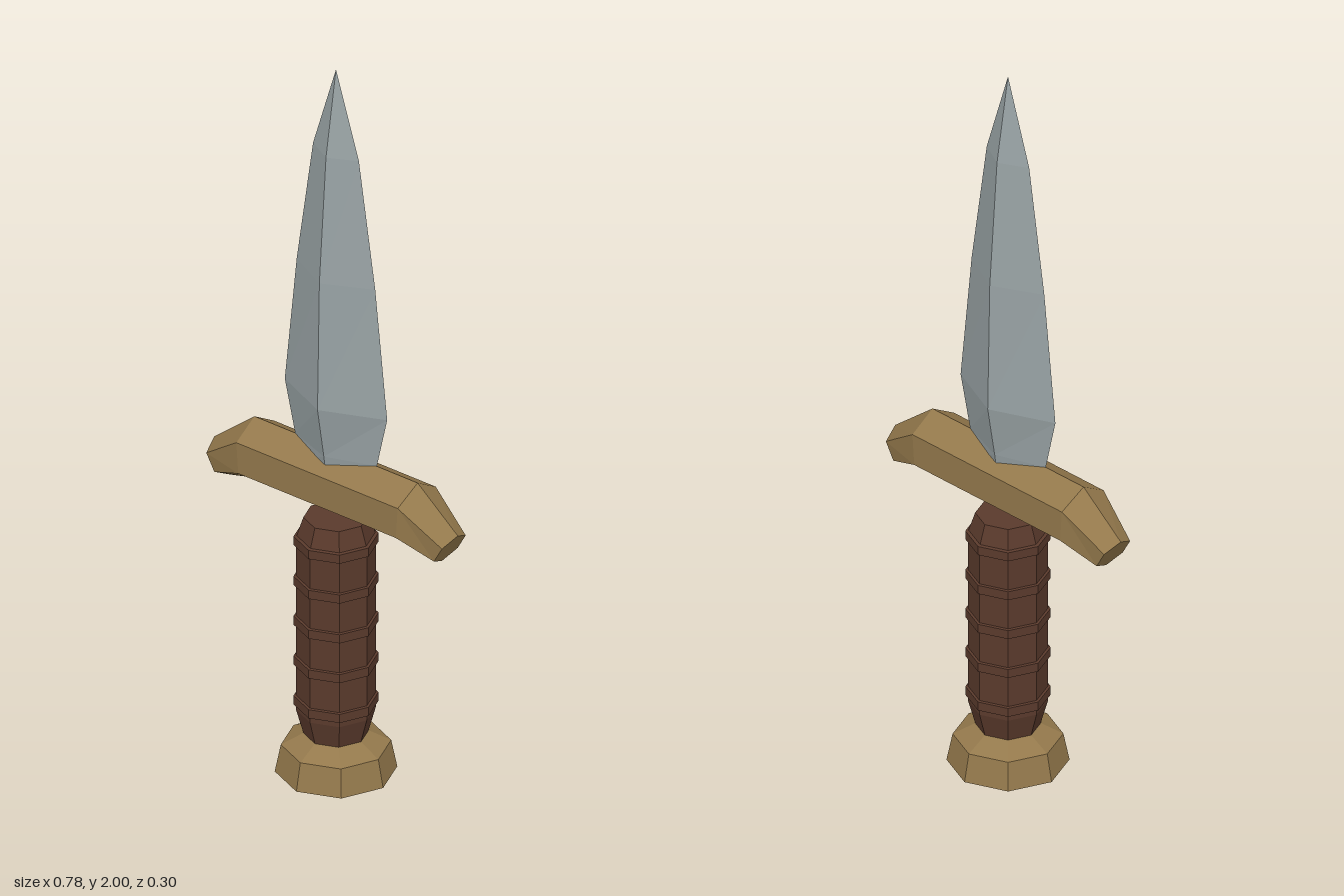
import * as THREE from 'three';

const material = (color) => new THREE.MeshStandardMaterial({ color, flatShading: true });
const brass = material(0x94794c);
const leather = material(0x5a3a2c);
const steel = material(0x98a2a4);

// Joins matching cross-sections (counter-clockwise seen from the last one) and caps both ends.
function loft(rings) {
  const n = rings[0].length;
  const index = [];
  for (let r = 0; r < rings.length - 1; r++) {
    for (let i = 0; i < n; i++) {
      const a = r * n + i, b = r * n + (i + 1) % n;
      index.push(a, b, b + n, a, b + n, a + n);
    }
  }
  const last = (rings.length - 1) * n;
  for (let i = 1; i < n - 1; i++) {
    index.push(0, i + 1, i, last, last + i, last + i + 1);
  }
  const geometry = new THREE.BufferGeometry();
  geometry.setAttribute('position', new THREE.Float32BufferAttribute(rings.flat(2), 3));
  geometry.setIndex(index);
  geometry.computeVertexNormals();
  return geometry;
}

// Eight-sided turned part from [radius, height] pairs, bottom to top.
const turned = (profile) =>
  new THREE.LatheGeometry(profile.map(([r, y]) => new THREE.Vector2(r, y)), 8);

// Pointed hexagon across the guard; top and bottom are [x, y] on the centre line.
function guardSection([tx, ty], [bx, by], halfDepth) {
  const at = (t, z) => [tx + (bx - tx) * t, ty + (by - ty) * t, z];
  return [at(0, 0), at(0.25, halfDepth), at(0.75, halfDepth),
    at(1, 0), at(0.75, -halfDepth), at(0.25, -halfDepth)];
}

export function createModel() {
  const group = new THREE.Group();
  const add = (name, geometry, mat) => {
    const mesh = new THREE.Mesh(geometry, mat);
    mesh.name = name;
    group.add(mesh);
    return mesh;
  };

  // Diamond-section blade: [height, half width, half thickness]
  const blade = [
    [0.87, 0.115, 0.035], [0.94, 0.13, 0.046], [1.08, 0.163, 0.07],
    [1.43, 0.125, 0.063], [1.77, 0.073, 0.038], [2, 0, 0],
  ];
  add('blade', loft(blade.map(([y, w, d]) =>
    [[w, y, 0], [0, y, -d], [-w, y, 0], [0, y, d]])), steel);

  // Crossguard with drooping, tapered ends
  add('crossguard', loft([
    guardSection([-0.388, 0.838], [-0.337, 0.75], 0.045),
    guardSection([-0.26, 0.94], [-0.248, 0.772], 0.072),
    guardSection([0.26, 0.94], [0.248, 0.772], 0.072),
    guardSection([0.388, 0.838], [0.337, 0.75], 0.045),
  ]), brass);

  // Grip
  add('grip', turned([
    [0, 0.12], [0.075, 0.12], [0.08, 0.155], [0.098, 0.22],
    [0.098, 0.7], [0.08, 0.755], [0, 0.755],
  ]), leather);

  // Raised bands around the grip
  for (let i = 0; i < 5; i++) {
    const y = 0.247 + i * 0.111;
    add('gripBand', turned([
      [0.09, y - 0.016], [0.104, y - 0.012], [0.104, y + 0.012], [0.09, y + 0.016],
    ]), leather);
  }

  // Pommel
  add('pommel', turned([
    [0, 0], [0.062, 0.004], [0.15, 0.05], [0.135, 0.124], [0.078, 0.155], [0, 0.155],
  ]), brass);

  return group;
}
